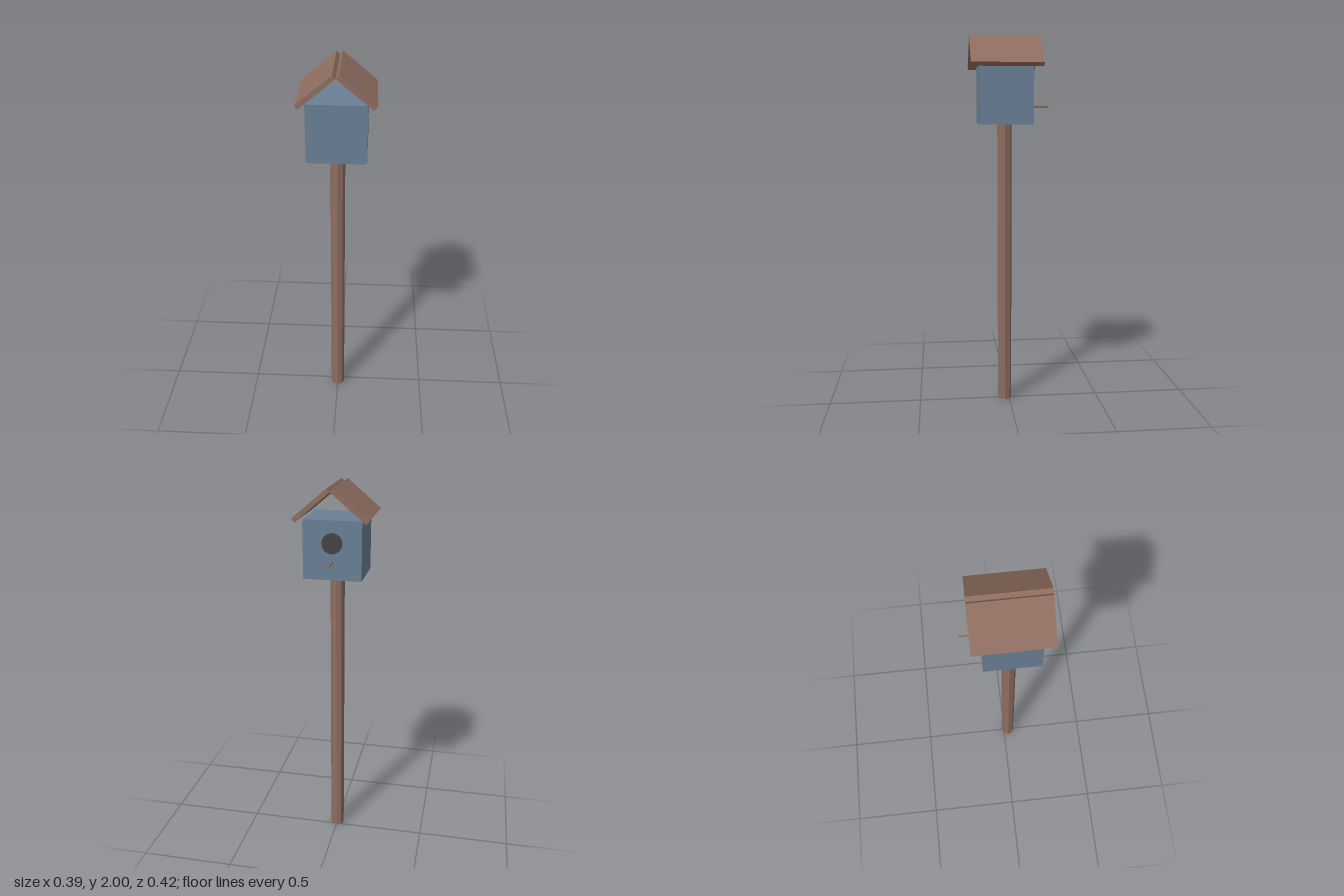
import * as THREE from 'three';

const CENTRE_Z = 0.025;

function material(name, color) {
  const m = new THREE.MeshStandardMaterial({ color });
  m.name = name;
  return m;
}

function addPart(group, name, geometry, mat, x, y, z) {
  // Unshared vertices give each facet its own flat normal
  const flat = geometry.index ? geometry.toNonIndexed() : geometry;
  flat.computeVertexNormals();
  const mesh = new THREE.Mesh(flat, mat);
  mesh.name = name;
  mesh.position.set(x, y, z);
  group.add(mesh);
  return mesh;
}

export function createModel() {
  const group = new THREE.Group();
  group.name = 'birdhouse';

  const wood = material('brown wood', 0x8f6e60);
  const paint = material('blue grey paint', 0x6a8096);
  const dark = material('dark entrance', 0x444444);

  // Eight-sided post
  addPart(group, 'post', new THREE.CylinderGeometry(0.038, 0.038, 1.54, 8), wood, 0, 0.77, CENTRE_Z);

  // House box, with an open gable above it
  addPart(group, 'house', new THREE.BoxGeometry(0.3, 0.3, 0.28), paint, 0, 1.69, CENTRE_Z);

  // Two sloping boards whose lower edges meet at the ridge
  const slope = THREE.MathUtils.degToRad(40);
  const length = 0.231, thick = 0.025;
  const c = Math.cos(slope), s = Math.sin(slope);
  for (const side of [-1, 1]) {
    const x = side * (length * c + thick * s) / 2;
    const y = 2 - (length * s + thick * c) / 2;
    const board = addPart(group, side > 0 ? 'leftRoofBoard' : 'rightRoofBoard',
      new THREE.BoxGeometry(length, thick, 0.373), wood, x, y, 0.0235);
    board.rotation.z = -side * slope;
  }

  // Round entrance and perch on the back wall
  const entrance = addPart(group, 'entrance', new THREE.CylinderGeometry(0.052, 0.052, 0.014, 16), dark, 0, 1.727, -0.12);
  entrance.rotation.x = Math.PI / 2;
  const perch = addPart(group, 'perch', new THREE.CylinderGeometry(0.006, 0.006, 0.102, 8), wood, 0, 1.633, -0.161);
  perch.rotation.x = Math.PI / 2;

  return group;
}
